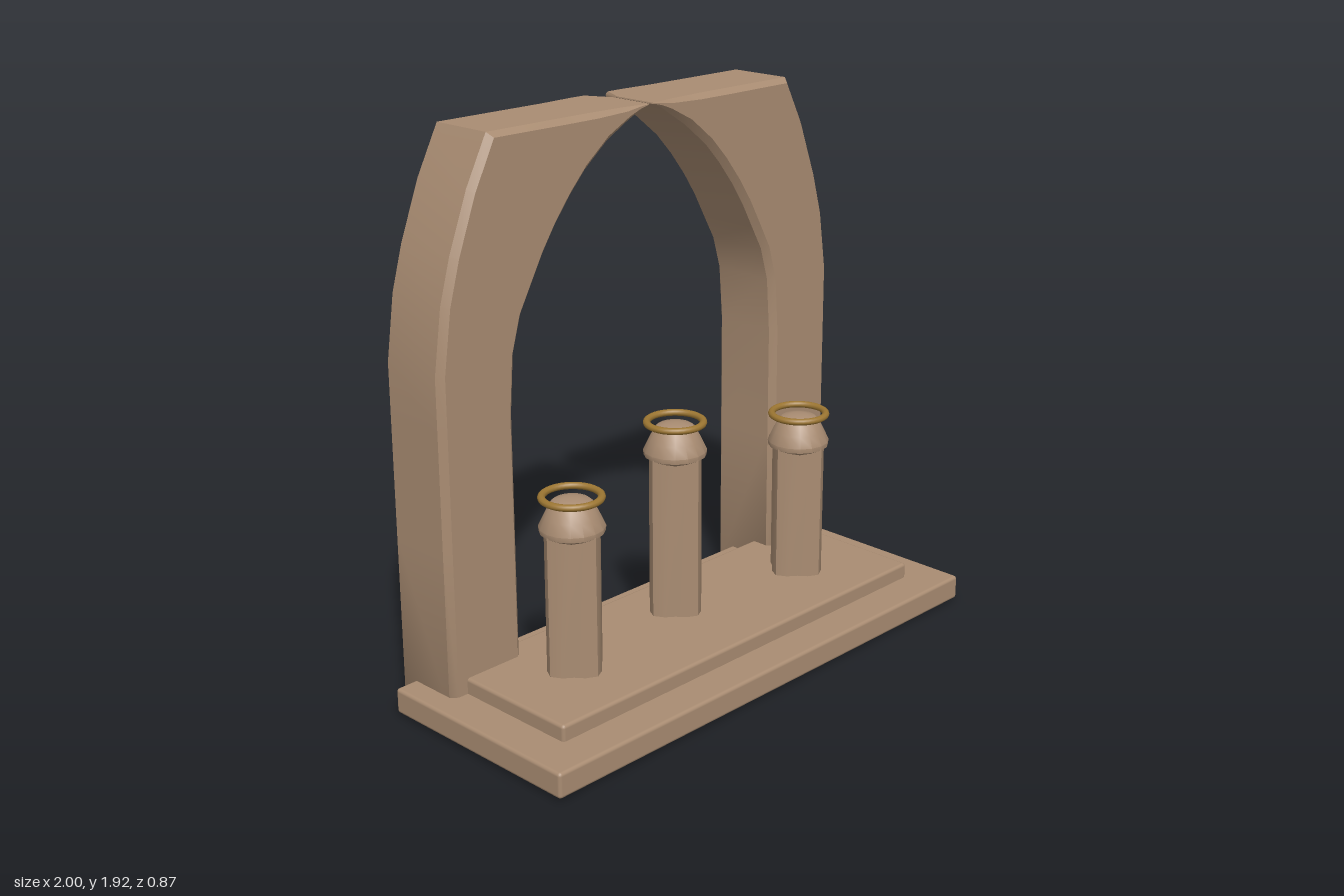
import * as THREE from 'three';
import { toCreasedNormals } from 'three/addons/utils/BufferGeometryUtils.js';
import { RoundedBoxGeometry } from 'three/addons/geometries/RoundedBoxGeometry.js';

const stone = new THREE.MeshStandardMaterial({ color: 0xa98c72 });
stone.name = 'sandstone';
const brass = new THREE.MeshStandardMaterial({ color: 0x9c7632 });
brass.name = 'brass';

function addMesh(parent, name, geometry, material) {
  const mesh = new THREE.Mesh(geometry, material);
  mesh.name = name;
  parent.add(mesh);
  return mesh;
}

// Rounded slab given by its limits
function slab(x, y0, y1, z0, z1) {
  const g = new RoundedBoxGeometry(2 * x, y1 - y0, z1 - z0, 2, 0.012);
  return g.translate(0, (y0 + y1) / 2, (z0 + z1) / 2);
}

// Arch cross-sections: outer x, outer y, inner x, inner y, back z
const FRONT = -0.16, BACK = -0.437;
const sections = [
  [0.9, 0, 0.64, 0, BACK + 0.015],
  [0.92, 0.03, 0.62, 0.03, BACK],
  [0.92, 0.6, 0.62, 0.6, BACK],
  [0.92, 1.0, 0.62, 1.0, BACK],
  [0.92, 1.19, 0.605, 1.2, BACK],
  [0.888, 1.41, 0.57, 1.32, BACK],
  [0.845, 1.56, 0.52, 1.41, BACK],
  [0.77, 1.755, 0.47, 1.5, BACK],
  [0.685, 1.918, 0.417, 1.58, BACK],
  [0.54, 1.918, 0.35, 1.665, BACK],
  [0.4, 1.918, 0.28, 1.74, BACK],
  [0.25, 1.918, 0.18, 1.82, BACK],
  [0.11, 1.918, 0.09, 1.875, BACK],
  [0.055, 1.918, 0.047, 1.9, BACK + 0.01],
  [0.01, 1.918, 0.009, 1.914, -0.33],
];

// Half of the arch lofted through chamfered rectangular sections
function archHalf(side) {
  const pos = [], index = [];
  const tri = (a, b, c) => (side > 0 ? index.push(a, b, c) : index.push(a, c, b));
  for (const [xo, yo, xi, yi, zb] of sections) {
    const len = Math.hypot(xi - xo, yi - yo);
    const c = Math.min(0.022, len * 0.3), k = c / len;
    const ring = [
      [k, FRONT], [1 - k, FRONT], [1, FRONT - c], [1, zb + c],
      [1 - k, zb], [k, zb], [0, zb + c], [0, FRONT - c],
    ];
    for (const [t, z] of ring) pos.push(side * (xo + (xi - xo) * t), yo + (yi - yo) * t, z);
  }
  const last = (sections.length - 1) * 8;
  for (let s = 0; s < last; s += 8) {
    for (let k = 0; k < 8; k++) {
      const a = s + k, b = s + ((k + 1) % 8);
      tri(b, a, a + 8);
      tri(b, a + 8, b + 8);
    }
  }
  // End caps
  for (let k = 1; k < 7; k++) {
    tri(0, k, k + 1);
    tri(last, last + k + 1, last + k);
  }
  const g = new THREE.BufferGeometry();
  g.setAttribute('position', new THREE.Float32BufferAttribute(pos, 3));
  g.setIndex(index);
  return toCreasedNormals(g, 0.6);
}

// Post with four soft ribs, a flared shoulder, a domed top and a ring
function post(name, x, z, shoulderY) {
  const group = new THREE.Group();
  group.name = name;
  group.position.set(x, 0, z);

  const shaft = new THREE.CylinderGeometry(0.11, 0.11, shoulderY - 0.13, 16, 1);
  shaft.translate(0, (shoulderY + 0.13) / 2, 0);
  const p = shaft.attributes.position;
  for (let i = 0; i < p.count; i++) {
    const px = p.getX(i), pz = p.getZ(i);
    const rib = Math.abs(Math.cos(2 * Math.atan2(pz, px)));
    const f = 0.77 + 0.23 * rib ** 2;
    p.setX(i, px * f);
    p.setZ(i, pz * f);
  }
  addMesh(group, 'shaft', toCreasedNormals(shaft, 0.7), stone);

  const profile = [
    [0.075, -0.025], [0.108, -0.005], [0.11, 0.012], [0.092, 0.05],
    [0.072, 0.09], [0.06, 0.1], [0.03, 0.106], [0, 0.108],
  ].map(([r, y]) => new THREE.Vector2(r, shoulderY + y));
  addMesh(group, 'shoulder', toCreasedNormals(new THREE.LatheGeometry(profile, 16), 0.6), stone);

  const ring = new THREE.TorusGeometry(0.097, 0.013, 10, 36);
  ring.rotateX(-Math.PI / 2).scale(1, 0.9, 1);
  addMesh(group, 'ring', ring, brass).position.y = shoulderY + 0.111;
  return group;
}

export function createModel() {
  const model = new THREE.Group();
  model.name = 'archShrine';

  // Stepped plinth
  addMesh(model, 'base', slab(1, 0.008, 0.097, -0.36, 0.435), stone);
  addMesh(model, 'step', slab(0.86, 0.08, 0.152, -0.25, 0.3), stone);

  // Split arch
  addMesh(model, 'leftArch', archHalf(1), stone);
  addMesh(model, 'rightArch', archHalf(-1), stone);

  // Three ringed posts
  model.add(post('centrePost', 0, -0.055, 0.731));
  model.add(post('leftPost', 0.553, 0.025, 0.641));
  model.add(post('rightPost', -0.555, 0.025, 0.641));
  return model;
}
